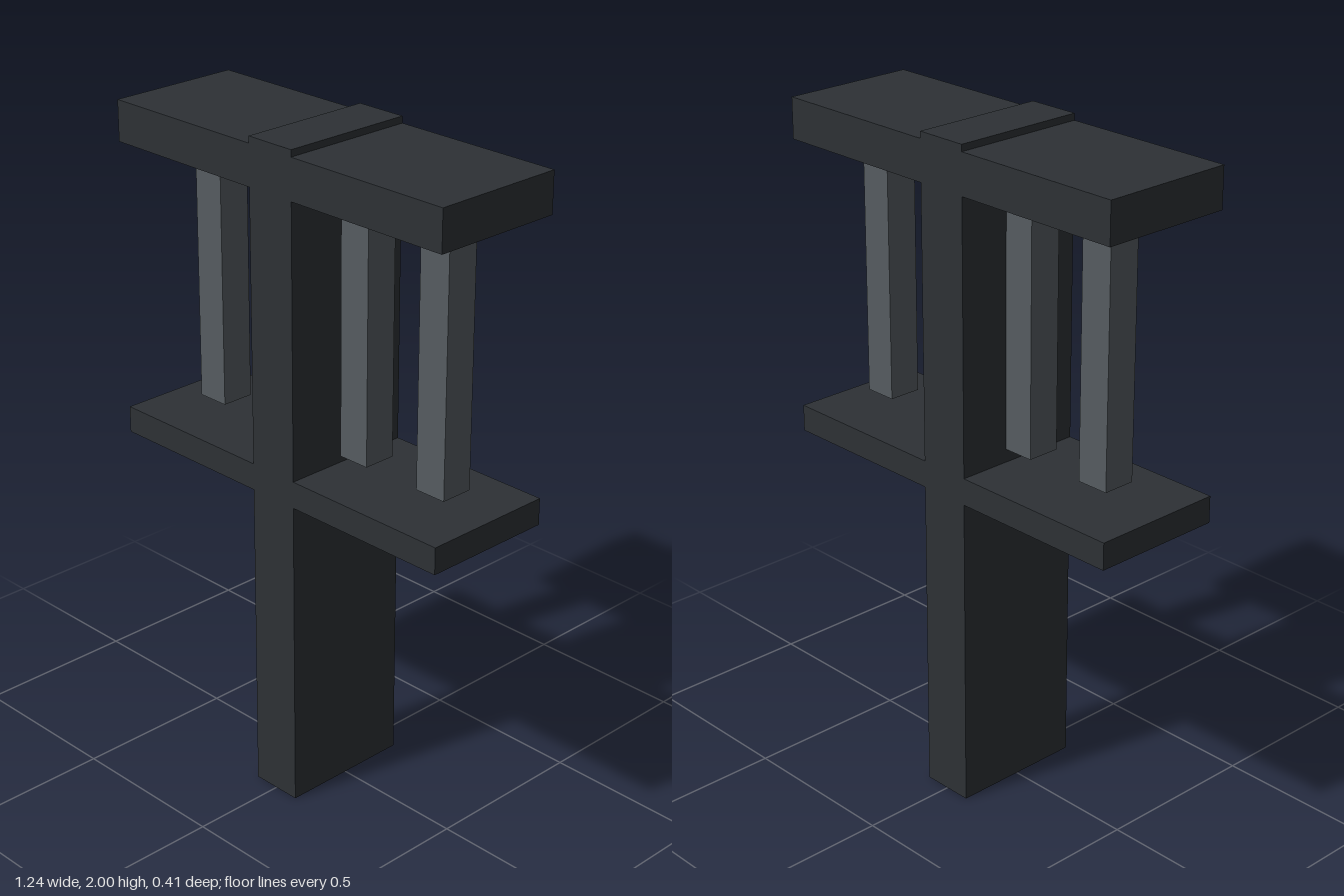
import * as THREE from 'three';

export function createModel() {
  const model = new THREE.Group();
  const darkMetal = new THREE.MeshStandardMaterial({ color: 0x2d3135 });
  const paleMetal = new THREE.MeshStandardMaterial({ color: 0x565c61 });
  const depth = 0.414, postHalf = 0.081, armEnd = 0.621;

  // Box given by its x and y extents, depth and z centre
  function addBox(name, material, x0, x1, y0, y1, d, z = 0) {
    const mesh = new THREE.Mesh(new THREE.BoxGeometry(x1 - x0, y1 - y0, d), material);
    mesh.position.set((x0 + x1) / 2, (y0 + y1) / 2, z);
    mesh.name = name;
    model.add(mesh);
  }

  // Central post, full height
  addBox('post', darkMetal, -postHalf, postHalf, 0, 2, depth);

  // Top beam and lower shelf, butting against both sides of the post
  for (const [side, x0, x1] of [['left', postHalf, armEnd], ['right', -armEnd, -postHalf]]) {
    addBox(side + 'TopBeam', darkMetal, x0, x1, 1.858, 1.98, depth);
    addBox(side + 'Shelf', darkMetal, x0, x1, 0.961, 1.042, depth);
  }

  // Four evenly spaced bars hanging from the beam, clear of the shelf
  for (let i = 0; i < 4; i++) {
    const x = -0.42 + i * 0.292;
    addBox('hangingBar' + (i + 1), paleMetal, x - 0.051, x + 0.051, 1.082, 1.87, 0.102, 0.004);
  }

  return model;
}
